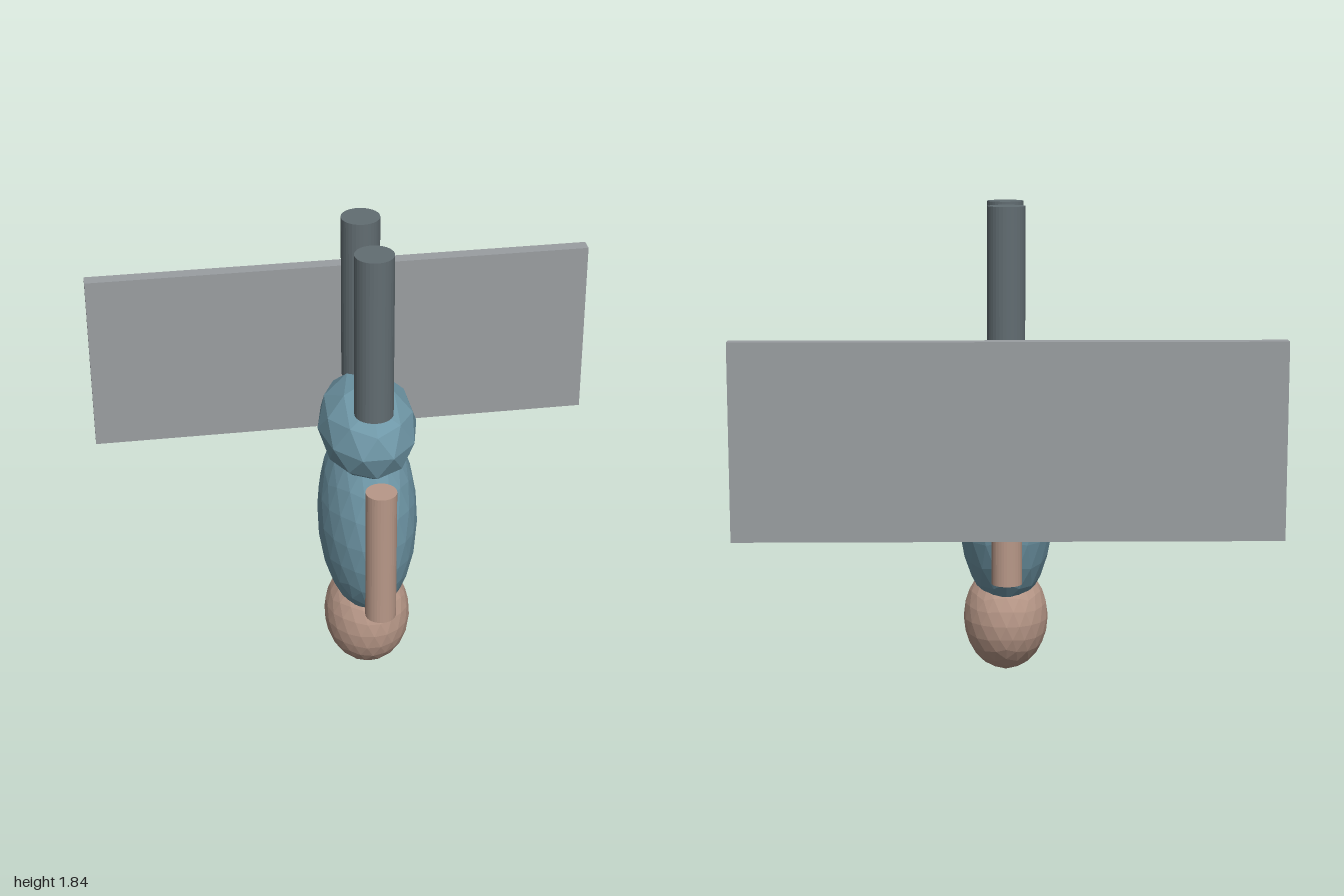
import * as THREE from 'three';

const flat = (color, name) => {
  const m = new THREE.MeshStandardMaterial({ color });
  m.flatShading = true;
  m.name = name;
  return m;
};

export function createModel() {
  const skin = flat(0xb89888, 'skin');
  const suit = flat(0x6f97a7, 'blue cloth');
  const trouser = flat(0x626d72, 'dark trousers');
  const panel = flat(0x9a9ea1, 'grey panel');

  const model = new THREE.Group();
  model.name = 'upsideDownFigure';
  const add = (name, geometry, material, x, y, z) => {
    const mesh = new THREE.Mesh(geometry, material);
    mesh.name = name;
    mesh.position.set(x, y, z);
    model.add(mesh);
  };

  // Faceted ellipsoid with one vertex on the vertical axis
  const ellipsoid = (rx, ry, rz, detail) =>
    new THREE.IcosahedronGeometry(1, detail)
      .rotateZ(Math.atan(2 / (1 + Math.sqrt(5))))
      .rotateY(Math.PI / 2)
      .scale(rx, ry, rz);

  const midZ = 0.163;
  add('head', ellipsoid(0.167, 0.212, 0.19, 3), skin, 0, 0.215, midZ);
  add('torso', ellipsoid(0.189, 0.42, 0.277, 3), suit, 0, 0.67, midZ);
  add('hips', ellipsoid(0.187, 0.185, 0.277, 1), suit, 0, 1.065, midZ);

  // Limbs mirrored about the middle of the body
  for (const [side, s] of [['front', 1], ['back', -1]]) {
    add(side + 'Leg', new THREE.CylinderGeometry(0.072, 0.072, 0.645, 32), trouser, 0, 1.523, midZ + s * 0.157);
    add(side + 'Arm', new THREE.CylinderGeometry(0.058, 0.058, 0.545, 32), skin, 0, 0.698, midZ + s * 0.328);
  }

  // Wide upright board behind the figure
  add('board', new THREE.BoxGeometry(2, 0.725, 0.055), panel, 0, 1.038, -0.522);

  return model;
}
